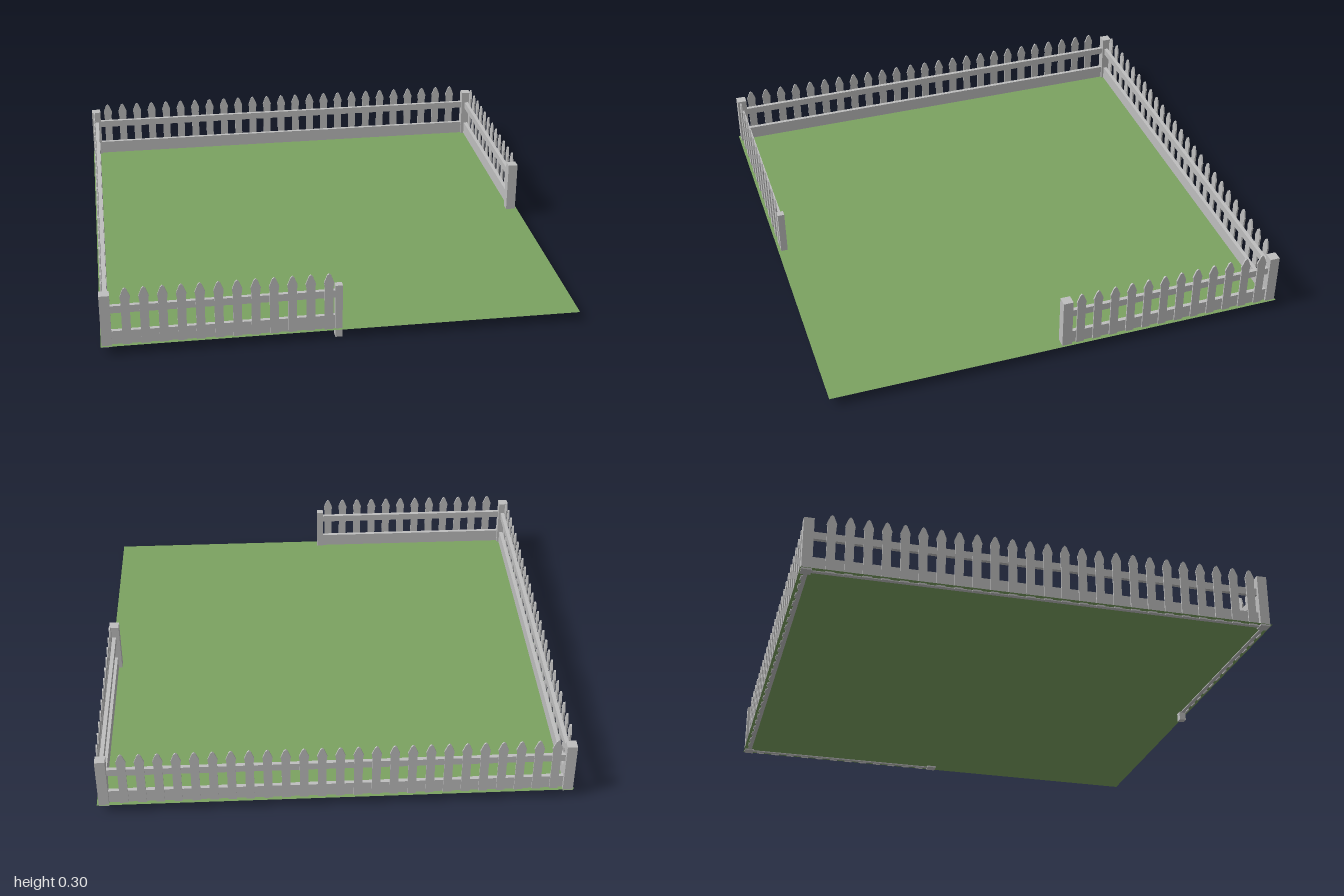
import * as THREE from 'three';

const paint = new THREE.MeshStandardMaterial({ color: 0xbebebe });
paint.name = 'fence grey';
const grass = new THREE.MeshStandardMaterial({ color: 0x7ba261, side: THREE.DoubleSide });
grass.name = 'grass green';

const OFFSET = 0.973; // distance of the fence line from the centre
const GROUND = 0.04;

function addBox(parent, name, x0, x1, y0, y1, z0, z1) {
  const mesh = new THREE.Mesh(new THREE.BoxGeometry(x1 - x0, y1 - y0, z1 - z0), paint);
  mesh.position.set((x0 + x1) / 2, (y0 + y1) / 2, (z0 + z1) / 2);
  mesh.name = name;
  parent.add(mesh);
}

// Pointed board with a slightly flared head
function picketGeometry() {
  const half = [[0.018, 0.033], [0.018, 0.235], [0.021, 0.257], [0.008, 0.291]];
  const points = half.map(([x, y]) => new THREE.Vector2(x, y));
  points.push(new THREE.Vector2(0, 0.298));
  for (const [x, y] of [...half].reverse()) points.push(new THREE.Vector2(-x, y));
  return new THREE.ExtrudeGeometry(new THREE.Shape(points), { depth: 0.007, bevelEnabled: false });
}

// One run of fence facing +z: rails from x0 to x1, pickets counted from the first one
function fenceRun(name, geometry, x0, x1, firstPicket, count) {
  const run = new THREE.Group();
  run.name = name;
  addBox(run, 'lowerRail', x0, x1, 0.036, 0.1, 0.964, 0.981);
  addBox(run, 'upperRail', x0, x1, 0.183, 0.215, 0.964, 0.981);
  for (let i = 0; i < count; i++) {
    const picket = new THREE.Mesh(geometry, paint);
    picket.name = 'picket';
    picket.position.set(firstPicket + i * 0.075, 0, 0.981);
    run.add(picket);
  }
  return run;
}

export function createModel() {
  const model = new THREE.Group();
  model.name = 'fencedLawn';

  // Lawn sheet
  const lawn = new THREE.Mesh(new THREE.PlaneGeometry(2, 2), grass);
  lawn.name = 'lawn';
  lawn.rotation.x = -Math.PI / 2;
  lawn.position.y = GROUND;
  model.add(lawn);

  // Fence runs, each turned to face outwards
  const geometry = picketGeometry();
  const runs = [
    ['frontFence', 0, -OFFSET, -0.025, -0.892, 12],
    ['rightFence', Math.PI / 2, 0.03, OFFSET, 0.09, 12],
    ['backFence', Math.PI, -OFFSET, OFFSET, -0.885, 25],
    ['leftFence', -Math.PI / 2, -OFFSET, OFFSET, -0.882, 25],
  ];
  for (const [name, turn, x0, x1, first, count] of runs) {
    const run = fenceRun(name, geometry, x0, x1, first, count);
    run.rotation.y = turn;
    model.add(run);
  }

  // Square posts at the corners and the end of the right run
  const h = 0.0215;
  for (const [x, z] of [[-0.975, 0.97], [-0.975, -0.975], [0.97, -0.975], [0.97, -0.03]]) {
    addBox(model, 'post', x - h, x + h, 0.033, 0.268, z - h, z + h);
  }
  // Slim gate post sunk through the lawn
  addBox(model, 'gatePost', -0.04, -0.01, 0, 0.24, 0.957, 0.987);

  return model;
}
